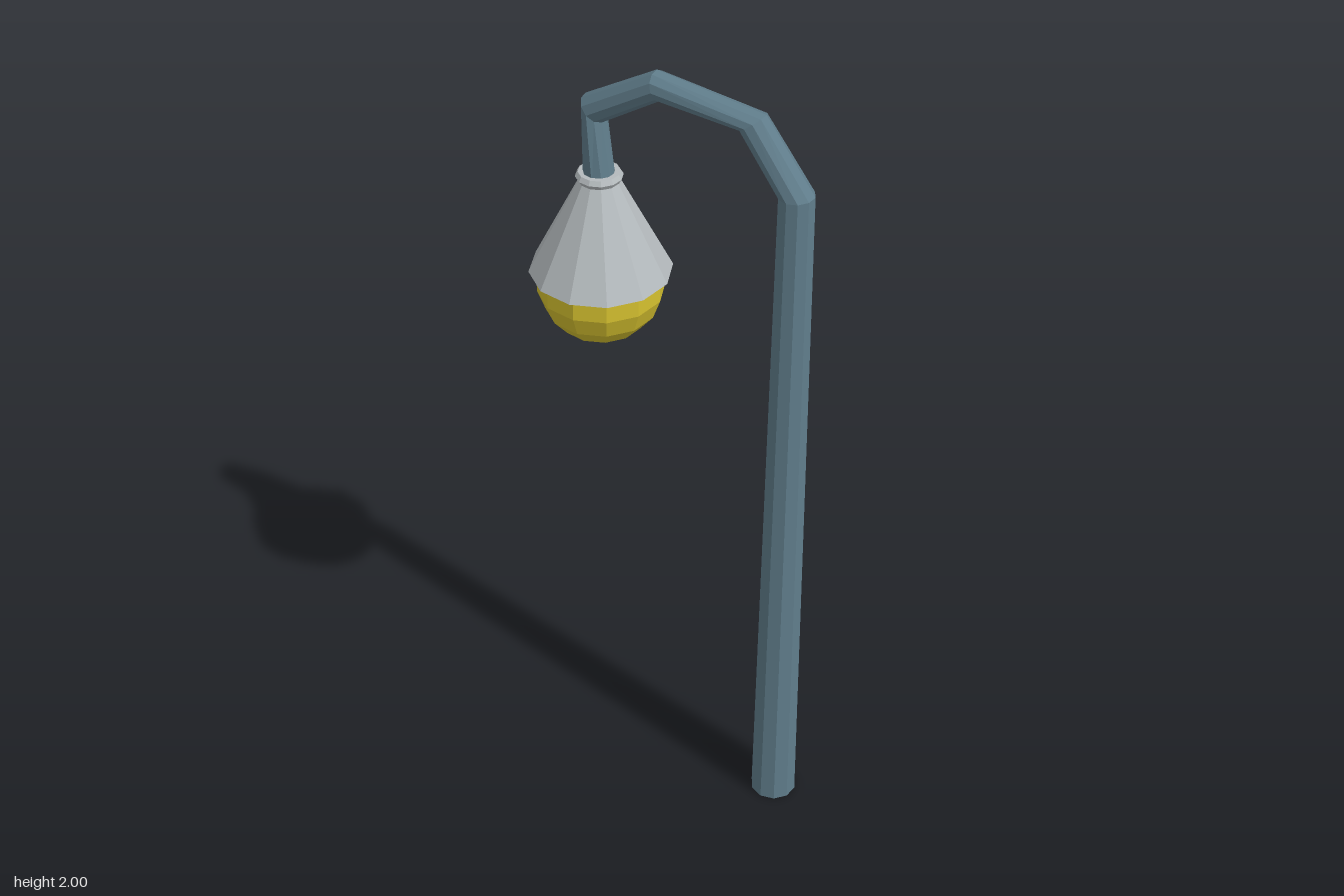
import * as THREE from 'three';

const mat = (color, side = THREE.FrontSide) =>
  new THREE.MeshStandardMaterial({ color, flatShading: true, side });

// Cross-sections of the post: [reach, height, radius, outward normal (reach, height)]
const RINGS = [
  [0, 0, 0.058, -1, 0],
  [0, 1.795, 0.042, -1, 0.08],
  [0.112, 1.945, 0.036, -0.8, 0.6],
  [0.35, 1.966, 0.035, 0.24, 0.97],
  [0.517, 1.863, 0.038, 0.7, 0.72],
  [0.506, 1.68, 0.038, 1, 0],
];

// Ten-sided tube lofted through the rings, closed at both ends
function loftPost(rings, sides, twist) {
  const pos = [], idx = [];
  rings.forEach(([s, y, r, ns, ny]) => {
    const len = Math.hypot(ns, ny);
    for (let j = 0; j < sides; j++) {
      const a = twist + (j / sides) * Math.PI * 2;
      const c = (Math.cos(a) * r) / len;
      pos.push(s + c * ns, y + c * ny, Math.sin(a) * r);
    }
  });
  for (let i = 0; i < rings.length - 1; i++) {
    for (let j = 0; j < sides; j++) {
      const k = (j + 1) % sides;
      const a = i * sides + j, b = i * sides + k;
      idx.push(a, b, b + sides, a, b + sides, a + sides);
    }
  }
  const last = (rings.length - 1) * sides;
  for (let j = 1; j < sides - 1; j++) {
    idx.push(0, j + 1, j, last, last + j, last + j + 1);
  }
  const geo = new THREE.BufferGeometry();
  geo.setAttribute('position', new THREE.Float32BufferAttribute(pos, 3));
  geo.setIndex(idx);
  geo.computeVertexNormals();
  return geo;
}

export function createModel() {
  const model = new THREE.Group();
  model.name = 'streetLamp';
  const add = (name, geo, material, parent, y = 0) => {
    const mesh = new THREE.Mesh(geo, material);
    mesh.name = name;
    mesh.position.y = y;
    parent.add(mesh);
    return mesh;
  };

  // Post with its bent arm, turned towards the lamp
  const post = add('post', loftPost(RINGS, 10, -0.406), mat(0x607d8b), model);
  post.position.set(0.285, 0, -0.155);
  post.rotation.y = Math.atan2(-0.2, -0.465);

  // Hanging lamp head
  const lamp = new THREE.Group();
  lamp.name = 'lampHead';
  lamp.position.set(-0.18, 0, 0.045);
  model.add(lamp);

  const grey = 0xb4babd;
  add('shade', new THREE.CylinderGeometry(0.043, 0.17, 0.25, 12, 1, true),
    mat(grey, THREE.DoubleSide), lamp, 1.565);
  const collar = add('collar', new THREE.TorusGeometry(0.043, 0.013, 6, 12), mat(grey), lamp, 1.692);
  collar.rotation.x = Math.PI / 2;
  add('globe', new THREE.SphereGeometry(0.154, 12, 9), mat(0xd4c02f), lamp, 1.412);

  return model;
}
